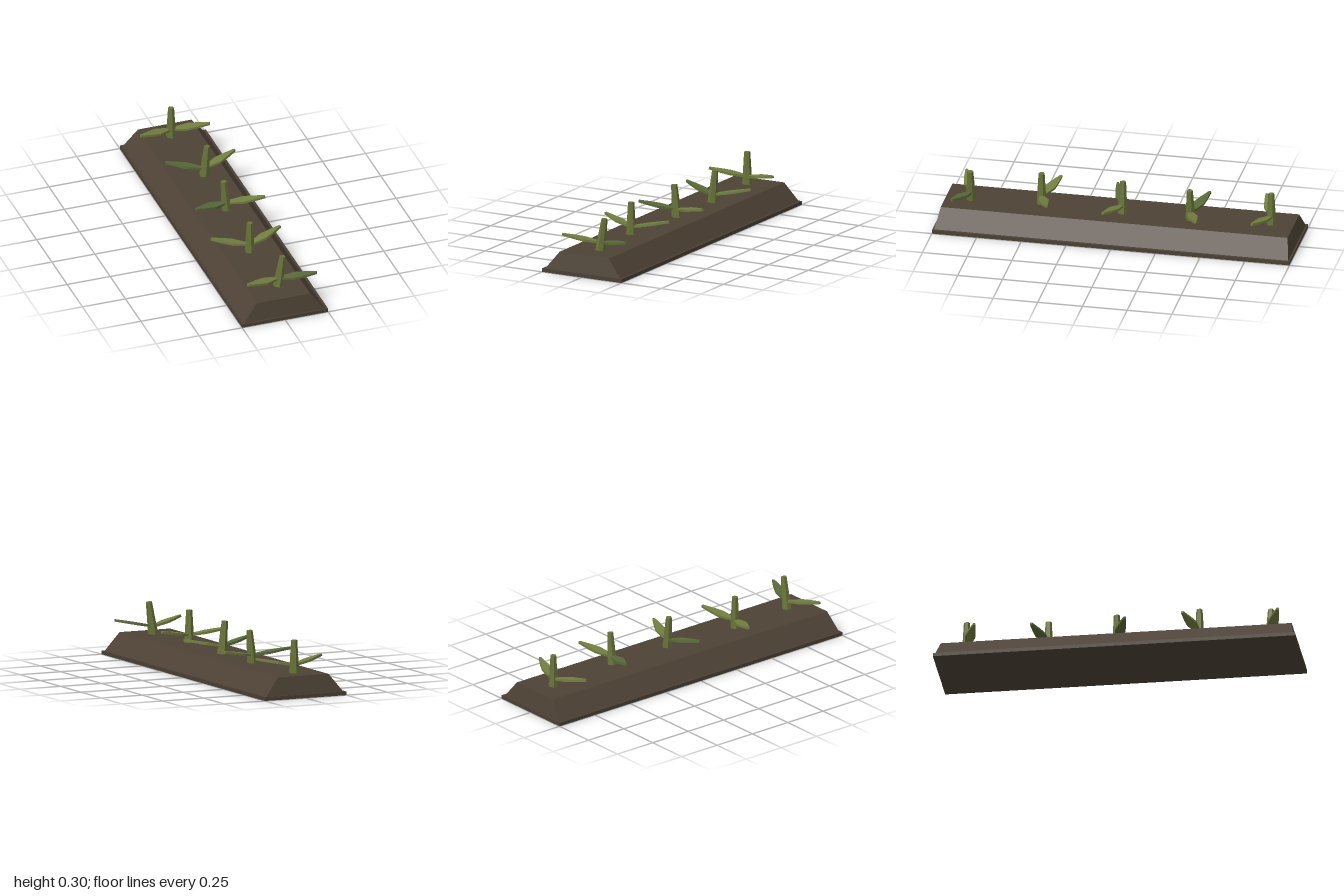
import * as THREE from 'three';

export function createModel() {
  const mat = (name, color, flatShading = true) => {
    const m = new THREE.MeshStandardMaterial({ color, flatShading });
    m.name = name;
    return m;
  };
  const soil = mat('soil brown', 0x4e4235);
  const rim = mat('dark rim brown', 0x4a4034);
  const stemGreen = mat('stem olive', 0x69733a);
  const leafLight = mat('leaf olive', 0x727e40);
  const leafDark = mat('leaf green', 0x596939);

  const model = new THREE.Group();
  model.name = 'plantBed';
  const add = (parent, geo, material, name) => {
    const mesh = new THREE.Mesh(geo, material);
    mesh.name = name;
    parent.add(mesh);
    return mesh;
  };

  // Thin slab under the soil
  add(model, new THREE.BoxGeometry(0.5, 0.02, 2), rim, 'baseSlab').position.y = 0.01;

  // Soil mound: a box whose top is drawn in
  const mound = new THREE.BoxGeometry(0.47, 0.1, 1.98);
  const p = mound.attributes.position;
  for (let i = 0; i < p.count; i++) {
    if (p.getY(i) > 0) {
      p.setX(i, Math.sign(p.getX(i)) * 0.155);
      p.setZ(i, Math.sign(p.getZ(i)) * 0.97);
    }
  }
  mound.computeVertexNormals();
  add(model, mound, soil, 'soilMound').position.y = 0.07;

  // Tapered stem, standing on its origin
  const stemGeo = new THREE.CylinderGeometry(0.017, 0.028, 0.185, 6);
  stemGeo.translate(0, 0.0885, 0);

  // Diamond-shaped leaf pointing along +x
  const half = [[0, 0.009], [0.05, 0.021], [0.09, 0.029], [0.145, 0.021], [0.212, 0.006]];
  const outline = [
    ...half.map(([x, w]) => new THREE.Vector2(x, -w)),
    ...half.slice().reverse().map(([x, w]) => new THREE.Vector2(x, w)),
  ];
  const leafGeo = new THREE.ExtrudeGeometry(new THREE.Shape(outline), { depth: 0.013, bevelEnabled: false });
  leafGeo.translate(0, 0, -0.0065);
  leafGeo.rotateX(-Math.PI / 2);

  // Sprouts: x, z, lean of the stem tip, side the leaves sweep to, leaf colours
  const sprouts = [
    [-0.007, -0.845, 0.0, 1, leafLight, leafLight],
    [0.028, -0.4, 0.016, -1, leafLight, leafDark],
    [0.02, -0.018, -0.016, 1, leafLight, leafDark],
    [-0.007, 0.44, 0.0, -1, leafLight, leafLight],
    [0.02, 0.828, 0.026, 1, leafDark, leafLight],
  ];
  const yaw = 0.33, rise = 0.18;
  for (const [x, z, lean, sweep, leftMat, rightMat] of sprouts) {
    const sprout = new THREE.Group();
    sprout.name = 'sprout';
    sprout.position.set(x, 0.12, z);
    model.add(sprout);

    add(sprout, stemGeo, stemGreen, 'stem').rotation.z = -lean / 0.18;

    const left = add(sprout, leafGeo, leftMat, 'leftLeaf');
    left.position.set(0.004, 0.043, 0);
    left.rotation.set(0, -sweep * yaw, rise, 'ZYX');

    const right = add(sprout, leafGeo, rightMat, 'rightLeaf');
    right.position.set(-0.004, 0.043, 0);
    right.rotation.set(0, Math.PI + sweep * yaw, -rise, 'ZYX');
  }
  return model;
}
